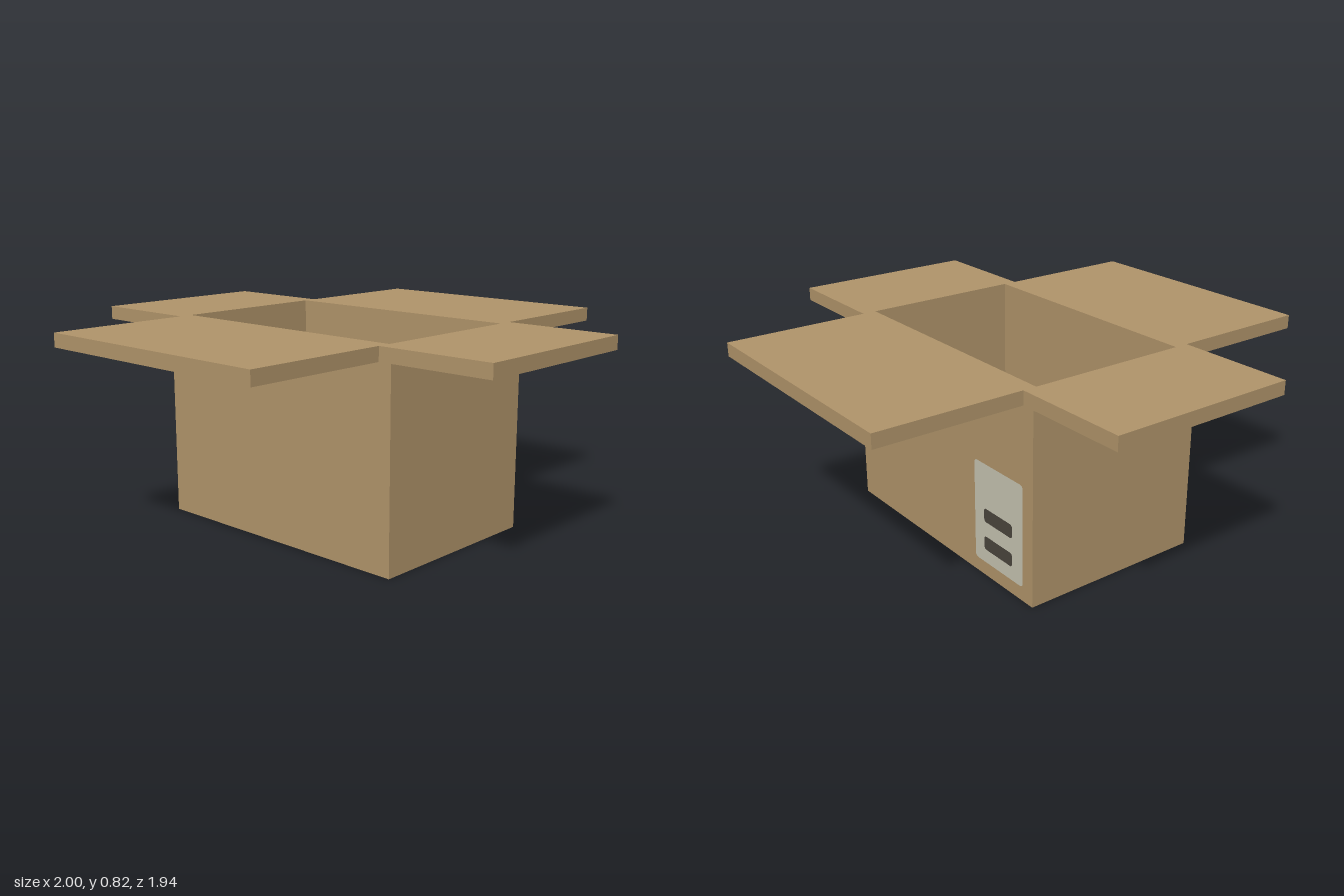
import * as THREE from 'three';

const W = 0.585, D = 0.385, T = 0.055; // half width, half depth, board thickness
const RIM = 0.77, REACH_X = 1, REACH_Z = 0.97;

const cardboard = new THREE.MeshStandardMaterial({ color: 0xb0946a });
cardboard.name = 'cardboard';
const paper = new THREE.MeshStandardMaterial({ color: 0xc6c3b1 });
paper.name = 'label paper';
const ink = new THREE.MeshStandardMaterial({ color: 0x4a453d });
ink.name = 'dark ink';

// Box given by its minimum and maximum corners
function board(name, x0, x1, y0, y1, z0, z1) {
  const mesh = new THREE.Mesh(new THREE.BoxGeometry(x1 - x0, y1 - y0, z1 - z0), cardboard);
  mesh.position.set((x0 + x1) / 2, (y0 + y1) / 2, (z0 + z1) / 2);
  mesh.name = name;
  return mesh;
}

function rect(path, hw, hd) {
  path.moveTo(-hw, -hd);
  path.lineTo(hw, -hd);
  path.lineTo(hw, hd);
  path.lineTo(-hw, hd);
  path.closePath();
  return path;
}

// Flat plate with rounded corners, facing +z
function plate(name, w, h, r, y, z, material) {
  const x = w / 2, t = h / 2;
  const s = new THREE.Shape();
  s.absarc(x - r, t - r, r, 0, Math.PI / 2);
  s.absarc(r - x, t - r, r, Math.PI / 2, Math.PI);
  s.absarc(r - x, r - t, r, Math.PI, Math.PI * 1.5);
  s.absarc(x - r, r - t, r, Math.PI * 1.5, Math.PI * 2);
  s.closePath();
  const mesh = new THREE.Mesh(new THREE.ShapeGeometry(s, 4), material);
  mesh.position.set(0, y, z);
  mesh.name = name;
  return mesh;
}

function makeLabel(name) {
  const label = new THREE.Group();
  label.name = name;
  label.add(plate('labelSheet', 0.29, 0.41, 0.015, 0.263, 0.002, paper));
  for (const y of [0.26, 0.143]) label.add(plate('labelBar', 0.17, 0.056, 0.012, y, 0.004, ink));
  return label;
}

export function createModel() {
  const model = new THREE.Group();
  model.name = 'openCardboardBox';

  // Four walls as one hollow sleeve
  const outline = rect(new THREE.Shape(), W, D);
  outline.holes.push(rect(new THREE.Path(), W - T, D - T));
  const sleeve = new THREE.ExtrudeGeometry(outline, { depth: RIM, bevelEnabled: false });
  sleeve.rotateX(-Math.PI / 2);
  const walls = new THREE.Mesh(sleeve, cardboard);
  walls.name = 'walls';
  model.add(walls);

  model.add(board('floor', T - W, W - T, 0, T, T - D, D - T));

  // Flaps folded flat outward from the opening
  const top = RIM + T;
  model.add(board('leftFlap', W - T, REACH_X, RIM, top, -D, D));
  model.add(board('rightFlap', -REACH_X, T - W, RIM, top, -D, D));
  model.add(board('frontFlap', T - W, W - T, RIM, top, D - T, REACH_Z));
  model.add(board('backFlap', T - W, W - T, RIM, top, -REACH_Z, T - D));

  // Shipping label, showing on both faces of the back wall
  const outer = makeLabel('outerLabel');
  outer.position.set(-0.385, 0, -D);
  outer.rotation.y = Math.PI;
  const inner = makeLabel('innerLabel');
  inner.position.set(-0.385, 0, T - D);
  model.add(outer, inner);

  return model;
}
